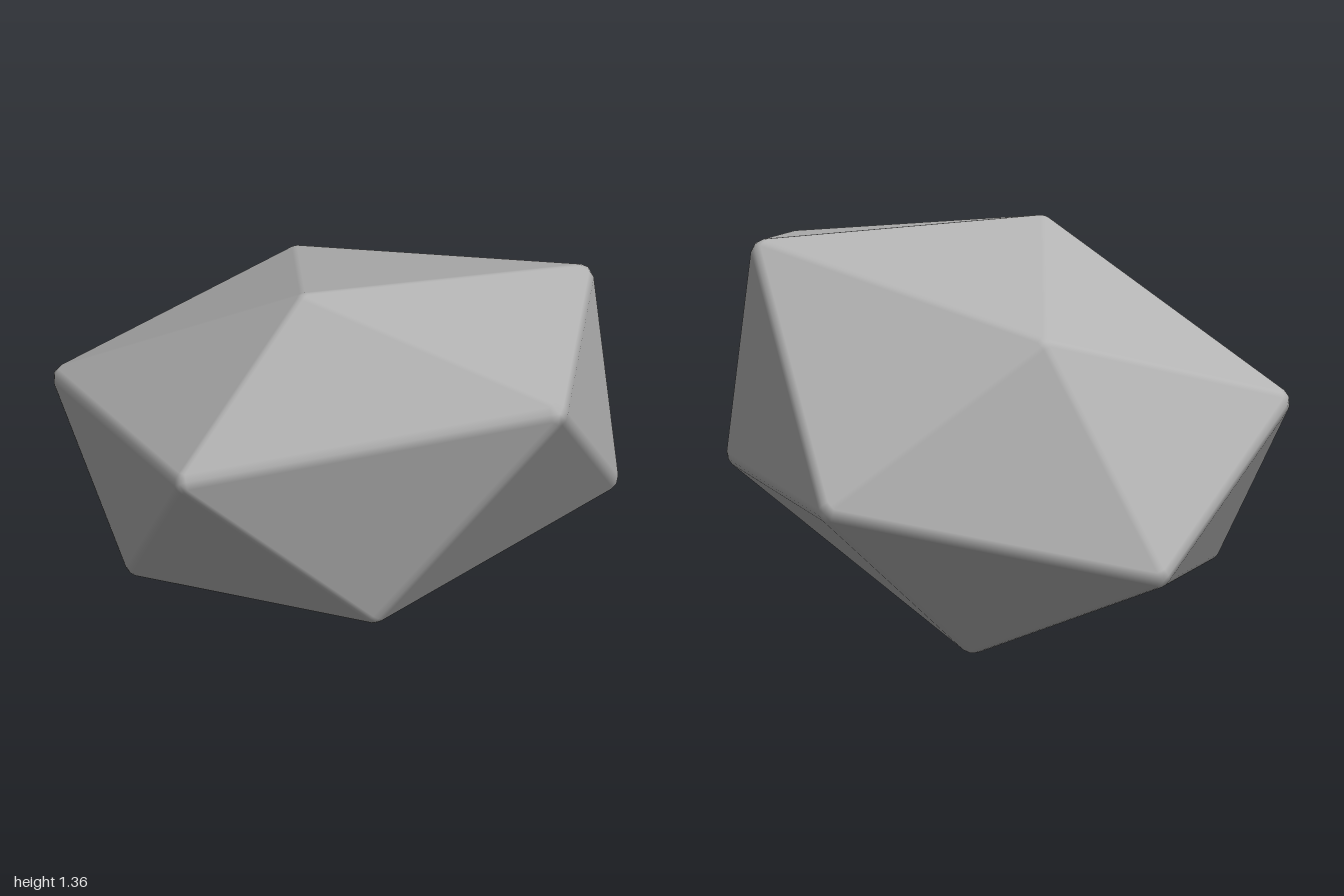
import * as THREE from 'three';

// Corners of a squashed, irregular twenty-sided stone
const CORNERS = {
  A: [-0.02, 1.36, 0.36], B: [0.56, 1.32, -0.45], C: [-0.6, 1.11, -0.41],
  D: [1.0, 1.18, 0.32], E: [-0.08, 0.88, 0.97], F: [-0.99, 0.85, 0.41],
  G: [-0.99, 0.33, -0.28], H: [-0.61, 0.26, 0.51], I: [0.4, 0.35, 0.53],
  J: [-0.18, 0.0, -0.26], K: [0.69, 0.58, -0.43], L: [-0.11, 0.56, -0.97],
};
// Top cap, upper and lower belt, bottom cap
const FACES = ('ABC ACF AFE AED ADB BCL CFG FEH EDI DBK ' +
  'LGC GHF HIE IKD KLB JGH JHI JIK JKL JLG').split(' ');
const RADIUS = 0.05;

function roundedStoneGeometry() {
  const points = {};
  for (const k in CORNERS) points[k] = new THREE.Vector3(...CORNERS[k]);
  const centre = new THREE.Vector3(0, 0.7, 0);

  // Outward flat faces
  const faces = FACES.map((name) => {
    let keys = name.split('');
    const [a, b, c] = keys.map((k) => points[k]);
    const normal = b.clone().sub(a).cross(c.clone().sub(a)).normalize();
    if (normal.dot(a.clone().sub(centre)) < 0) {
      normal.negate();
      keys = keys.reverse();
    }
    return { keys, normal };
  });

  // Centres of the small rounding spheres at the corners
  const tips = {}, cores = {};
  for (const k in points) {
    tips[k] = new THREE.Vector3();
    for (const f of faces) if (f.keys.includes(k)) tips[k].add(f.normal);
    tips[k].normalize();
    cores[k] = points[k].clone().addScaledVector(tips[k], -RADIUS);
  }

  const positions = [], normals = [];
  // Each corner is [corner key, normal on its rounding sphere]
  const triangle = (...corners) => {
    for (const [k, n] of corners) {
      positions.push(...cores[k].clone().addScaledVector(n, RADIUS).toArray());
      normals.push(...n.toArray());
    }
  };

  for (const f of faces) {
    triangle(...f.keys.map((k) => [k, f.normal]));
    // This face's half of every edge rounding and corner cap
    for (let i = 0; i < 3; i++) {
      const p = f.keys[i], q = f.keys[(i + 1) % 3];
      const other = faces.find((g) => g !== f && g.keys.includes(p) && g.keys.includes(q));
      const mid = f.normal.clone().add(other.normal).normalize();
      triangle([p, f.normal], [p, mid], [q, mid]);
      triangle([p, f.normal], [q, mid], [q, f.normal]);
      triangle([p, tips[p]], [p, mid], [p, f.normal]);
      triangle([q, tips[q]], [q, f.normal], [q, mid]);
    }
  }

  const geometry = new THREE.BufferGeometry();
  geometry.setAttribute('position', new THREE.Float32BufferAttribute(positions, 3));
  geometry.setAttribute('normal', new THREE.Float32BufferAttribute(normals, 3));
  return geometry;
}

export function createModel() {
  const group = new THREE.Group();
  group.name = 'rock';
  const stoneGrey = new THREE.MeshStandardMaterial({ color: 0xb4b4b4 });
  stoneGrey.name = 'stoneGrey';
  const stone = new THREE.Mesh(roundedStoneGeometry(), stoneGrey);
  stone.name = 'stone';
  group.add(stone);
  return group;
}
